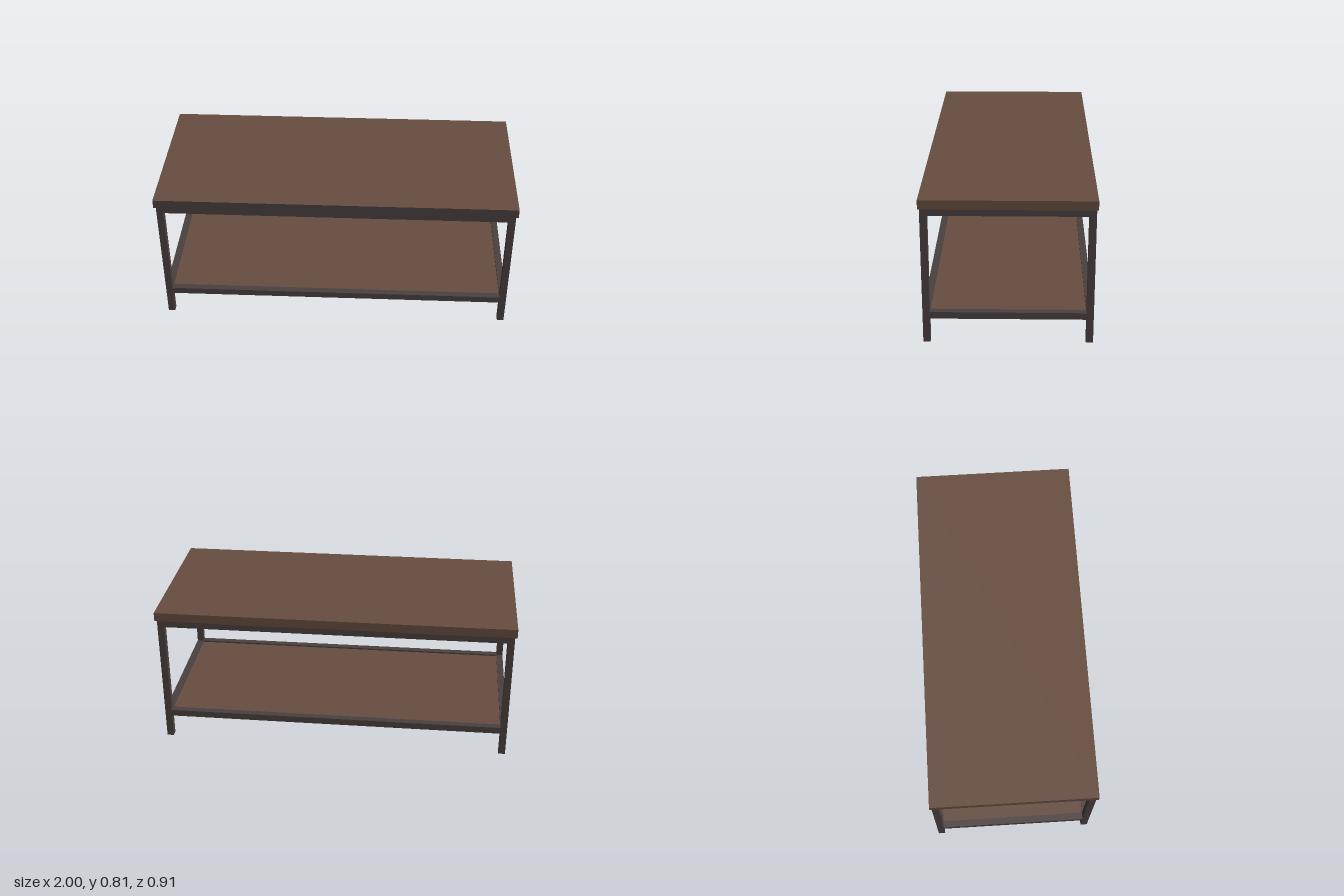
import * as THREE from 'three';

export function createModel() {
  const table = new THREE.Group();
  table.name = 'coffeeTable';

  const wood = new THREE.MeshStandardMaterial({ color: 0x674d40 });
  wood.name = 'brownWood';
  const metal = new THREE.MeshStandardMaterial({ color: 0x4a4140 });
  metal.name = 'darkMetal';

  const addBox = (name, material, size, position) => {
    const mesh = new THREE.Mesh(new THREE.BoxGeometry(...size), material);
    mesh.name = name;
    mesh.position.set(...position);
    table.add(mesh);
  };

  const bar = 0.038; // width of the square tube
  const legX = 0.969, legZ = 0.429, legHeight = 0.757;
  const railY = { lower: 0.155, upper: 0.737 };

  // Tabletop: wooden slab with a dark front edge
  addBox('tabletop', [wood, wood, wood, wood, metal, wood], [2, 0.05, 0.912], [0, 0.782, 0]);

  // Lower shelf, set slightly below the top of its rails
  addBox('shelf', wood, [2 * legX - bar, 0.022, 2 * legZ - bar], [0, 0.154, 0]);

  // Legs
  for (const [sideName, sx] of [['left', 1], ['right', -1]]) {
    for (const [endName, sz] of [['Front', 1], ['Back', -1]]) {
      addBox(`${sideName}${endName}Leg`, metal, [bar, legHeight, bar],
        [sx * legX, legHeight / 2, sz * legZ]);
    }
  }

  // Two rectangular frames of rails between the legs
  for (const [level, y] of Object.entries(railY)) {
    for (const [name, s] of [['Front', 1], ['Back', -1]]) {
      addBox(`${level}${name}Rail`, metal, [2 * legX - bar, bar, bar], [0, y, s * legZ]);
    }
    for (const [name, s] of [['Left', 1], ['Right', -1]]) {
      addBox(`${level}${name}Rail`, metal, [bar, bar, 2 * legZ - bar], [s * legX, y, 0]);
    }
  }

  return table;
}
